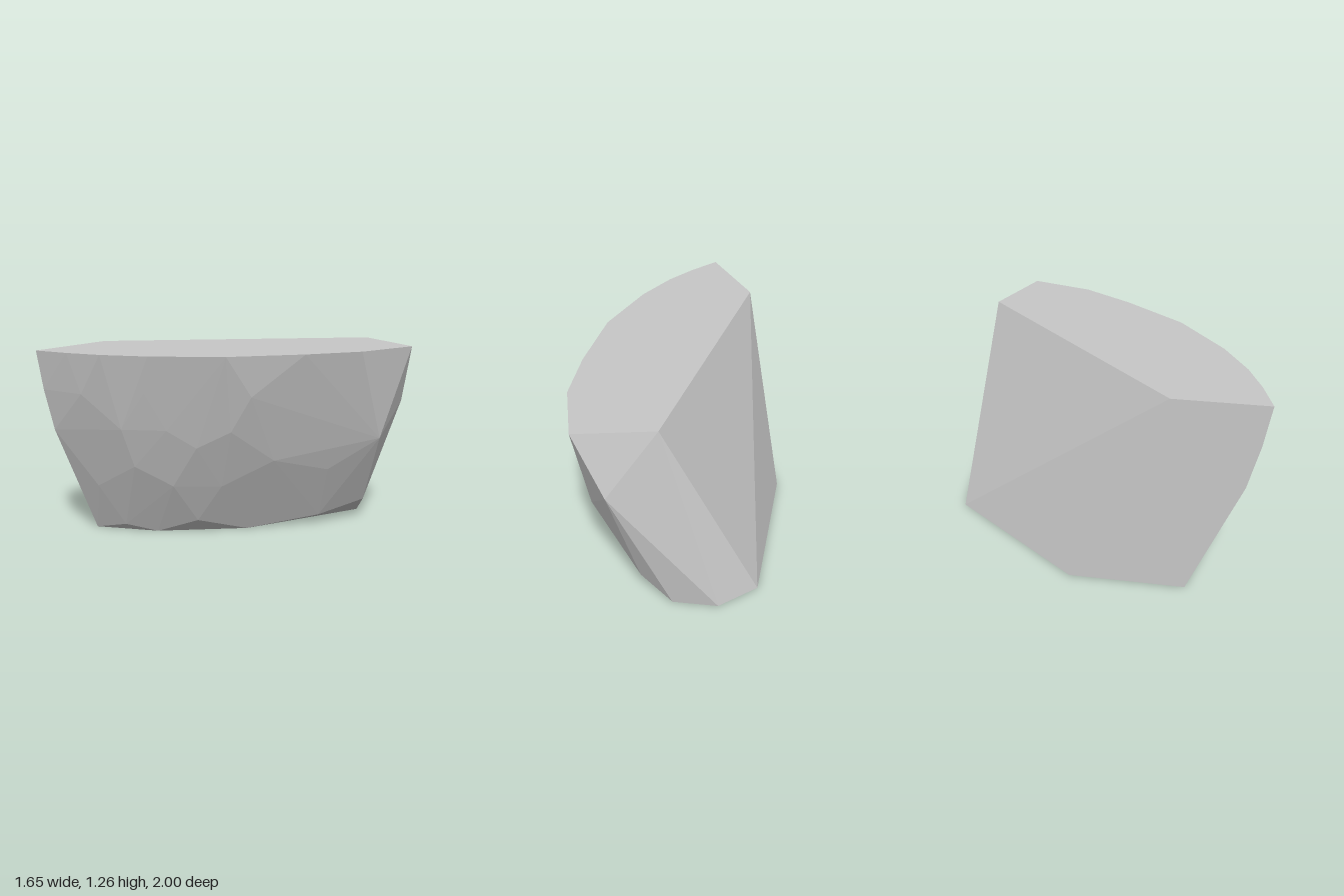
import * as THREE from 'three';
import { ConvexGeometry } from 'three/addons/geometries/ConvexGeometry.js';

const stone = new THREE.MeshStandardMaterial({ color: 0xc8c8c8, flatShading: true });
stone.name = 'grey stone';

// Places [x, z] outline corners at one height
const ring = (y, corners) => corners.map(([x, z]) => new THREE.Vector3(x, y, z));

export function createModel() {
  const group = new THREE.Group();
  group.name = 'rock';

  // Flat top, curved along the front and cut straight along the back
  const top = ring(1.257, [
    [-0.825, 1], [-0.61, 0.94], [-0.4, 0.86], [-0.14, 0.715], [0.22, 0.43],
    [0.515, 0.05], [0.71, -0.26], [0.825, -0.65], [0.385, -0.81], [-0.825, 0.46],
  ]);

  // Flat base, set further back than the top
  const base = ring(0, [
    [-0.825, 0.59], [-0.45, 0.38], [-0.03, -0.05], [0.32, -0.86],
    [0.08, -1], [-0.21, -0.96], [-0.825, -0.11],
  ]);

  // Chipped corners on the bulging front and the far end
  const chips = [
    [-0.825, 1.01, 0.96], [-0.57, 1.0, 0.875], [-0.21, 1.02, 0.69], [0.05, 1.01, 0.47], [0.28, 1.0, 0.27],
    [-0.825, 0.74, 0.895], [-0.38, 0.78, 0.73], [-0.15, 0.78, 0.57], [0.15, 0.77, 0.31],
    [-0.03, 0.66, 0.43], [-0.38, 0.52, 0.63], [0.265, 0.55, 0.03], [0.69, 0.66, -0.53],
    [-0.67, 0.35, 0.69], [-0.22, 0.38, 0.45], [-0.005, 0.37, 0.23], [0.44, 0.45, -0.31],
    [-0.61, 0.05, 0.52], [-0.2, 0.1, 0.25], [0.29, 0.07, -0.43], [0.465, 0.15, -0.71],
    [0.69, 0.87, -0.78],
  ].map((p) => new THREE.Vector3(...p));

  const body = new THREE.Mesh(new ConvexGeometry([...top, ...base, ...chips]), stone);
  body.name = 'rockBody';
  group.add(body);
  return group;
}
